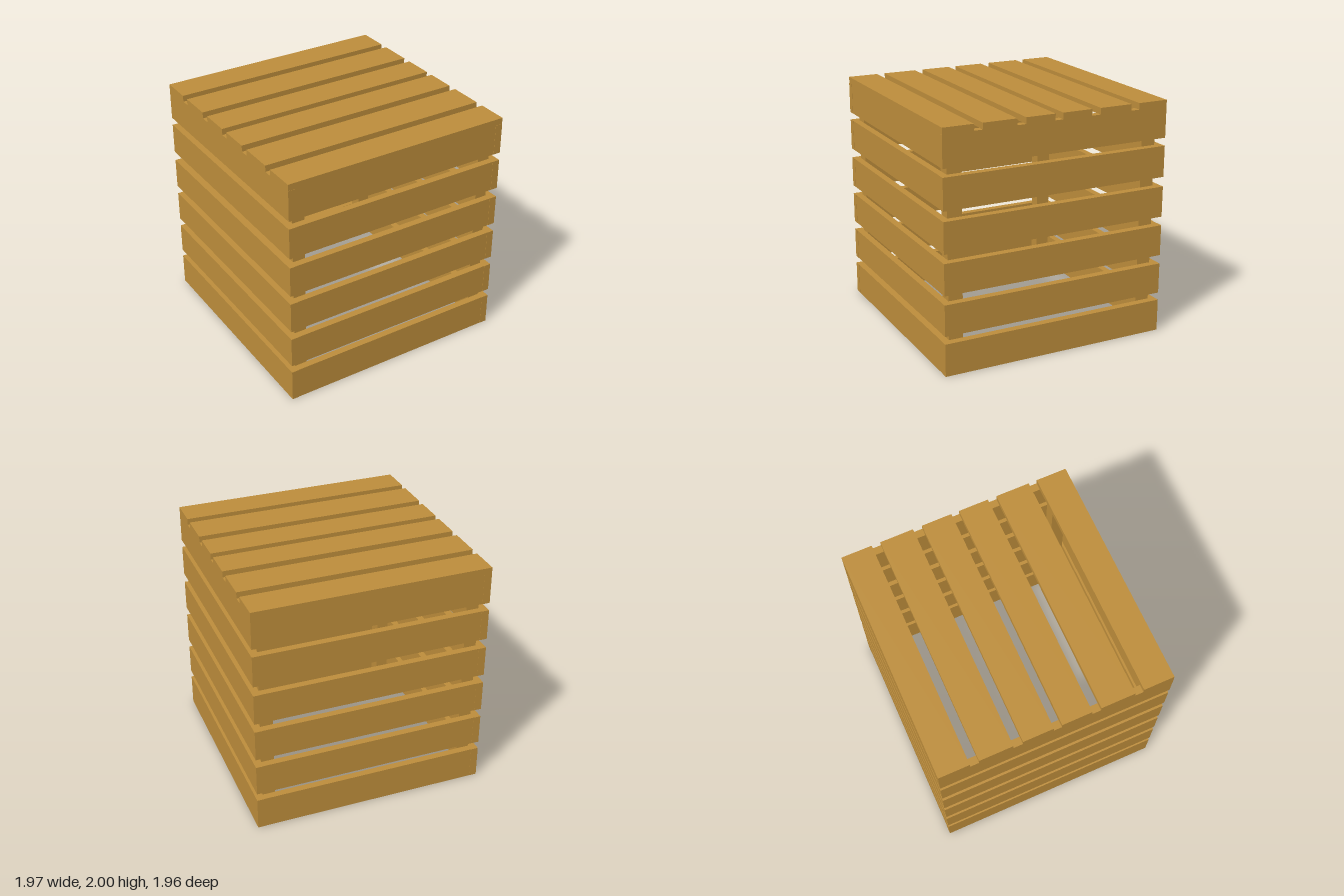
import * as THREE from 'three';

export function createModel() {
  const crate = new THREE.Group();
  crate.name = 'slattedCrate';
  const wood = new THREE.MeshStandardMaterial({ color: 0xbd8d3b });
  wood.name = 'wood';

  // Box given by its minimum and maximum on each axis
  const board = (name, [x0, x1], [y0, y1], [z0, z1]) => {
    const mesh = new THREE.Mesh(new THREE.BoxGeometry(x1 - x0, y1 - y0, z1 - z0), wood);
    mesh.name = name;
    mesh.position.set((x0 + x1) / 2, (y0 + y1) / 2, (z0 + z1) / 2);
    crate.add(mesh);
  };
  // Range between two distances from the centre, on the chosen side
  const span = (side, near, far) => (side > 0 ? [near, far] : [-far, -near]);

  const half = 0.985, inner = 0.922, lidBase = 1.947;

  // Wall slats: side slats run full depth, front and back ones fit between them
  const rows = [[0, 0.275], [0.34, 0.602], [0.677, 0.94], [1.015, 1.275], [1.357, 1.62], [1.687, lidBase]];
  for (const row of rows) {
    for (const s of [1, -1]) {
      board(s > 0 ? 'leftSlat' : 'rightSlat', span(s, inner, half), row, [-0.982, 0.982]);
      board(s > 0 ? 'frontSlat' : 'backSlat', [-inner, inner], row, span(s, inner, 0.98));
    }
  }

  // Lid slats
  const lid = [[-0.982, -0.724], [-0.65, -0.368], [-0.29, -0.034], [0.034, 0.287], [0.362, 0.65], [0.722, 0.98]];
  for (const depth of lid) board('lidSlat', [-half, half], [lidBase, 2], depth);

  // Inner corner posts
  for (const sx of [1, -1]) {
    for (const sz of [1, -1]) {
      board('cornerPost', span(sx, 0.815, inner), [0, lidBase], span(sz, 0.8, inner));
    }
  }
  return crate;
}
